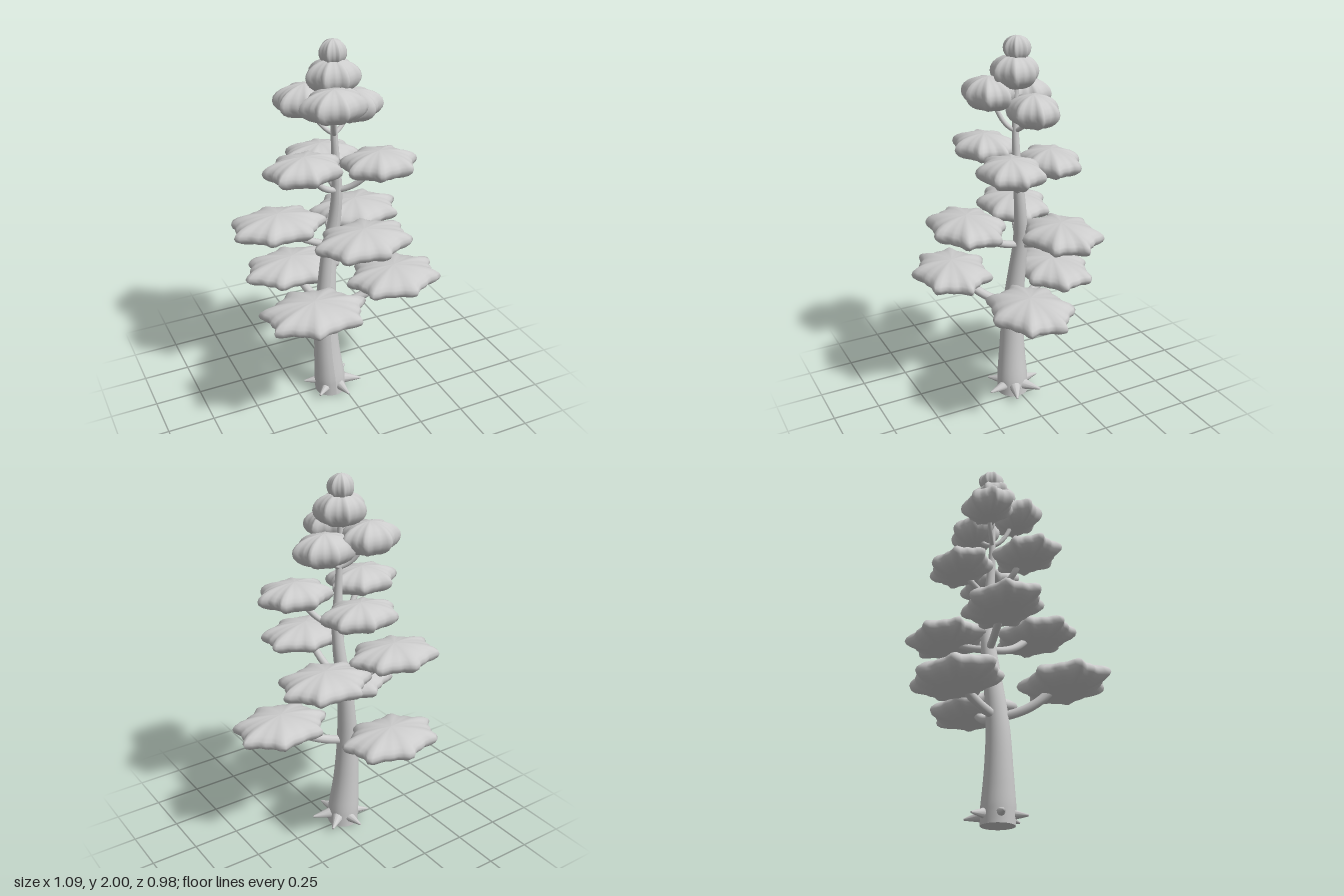
import * as THREE from 'three';

const grey = new THREE.MeshStandardMaterial({ color: 0xcccccc });
grey.name = 'paleGrey';

// Trunk stations: x, y, z, radius
const STATIONS = [
  [-0.065, 0, 0.015, 0.085], [-0.07, 0.1, 0.015, 0.085], [-0.082, 0.28, 0.01, 0.07],
  [-0.085, 0.5, 0.003, 0.058], [-0.067, 0.72, -0.012, 0.048], [-0.045, 0.9, -0.022, 0.04],
  [-0.022, 1.06, -0.012, 0.034], [-0.015, 1.22, 0, 0.028], [-0.026, 1.4, 0.008, 0.021],
  [-0.035, 1.55, 0.01, 0.017], [-0.036, 1.75, 0.005, 0.014], [-0.035, 1.92, 0, 0.01],
];
const trunkLine = new THREE.CatmullRomCurve3(STATIONS.map(([x, y, z]) => new THREE.Vector3(x, y, z)));

function trunkRadius(t) {
  const f = t * (STATIONS.length - 1);
  const i = Math.min(Math.floor(f), STATIONS.length - 2);
  return THREE.MathUtils.lerp(STATIONS[i][3], STATIONS[i + 1][3], f - i);
}

// Point of the trunk centreline at a given height
function trunkAt(y) {
  let i = 0;
  while (i < STATIONS.length - 2 && STATIONS[i + 1][1] < y) i++;
  const a = STATIONS[i], b = STATIONS[i + 1], k = (y - a[1]) / (b[1] - a[1]);
  return new THREE.Vector3(a[0], a[1], a[2]).lerp(new THREE.Vector3(b[0], b[1], b[2]), k);
}

// Tiers: branch height, pad half sizes [x, y, z], pad centres
const TIERS = [
  { node: 0.53, size: [0.275, 0.072, 0.21], pads: [[-0.267, 0.71, 0.28], [0.28, 0.685, 0.09], [-0.16, 0.65, -0.285]] },
  { node: 0.9, size: [0.255, 0.07, 0.195], pads: [[-0.01, 1.07, 0.3], [-0.3, 1.025, -0.11], [0.16, 1.005, -0.15]] },
  { node: 1.22, size: [0.205, 0.07, 0.162], pads: [[0.155, 1.385, 0.13], [-0.23, 1.405, 0.09], [-0.025, 1.34, -0.185]] },
  { node: 1.53, size: [0.165, 0.083, 0.13], pads: [[-0.09, 1.72, 0.13], [0.08, 1.65, -0.03], [-0.145, 1.69, -0.09]] },
];

function add(group, name, geometry) {
  const mesh = new THREE.Mesh(geometry, grey);
  mesh.name = name;
  group.add(mesh);
  return mesh;
}

// Flattened sphere whose outline is drawn out into pointed lobes
function padGeometry([sx, sy, sz], phase) {
  const g = new THREE.SphereGeometry(1, 56, 12);
  const p = g.attributes.position;
  for (let i = 0; i < p.count; i++) {
    const x = p.getX(i), y = p.getY(i), z = p.getZ(i);
    const a = Math.atan2(z, x) + phase;
    const lobe = 1 - Math.abs(Math.sin(a * 3.5));
    const s = 0.83 + 0.18 * lobe + 0.03 * Math.cos(14 * a) + 0.03 * Math.sin(2 * a);
    p.setXYZ(i, x * s * sx, y * sy, z * s * sz);
  }
  // Average the normals across the seam by computing them from the pole-to-rim shape
  g.computeVertexNormals();
  const n = g.attributes.normal, row = 57;
  for (let r = 0; r < 13; r++) {
    const a = r * row, b = a + 56;
    const v = new THREE.Vector3().fromBufferAttribute(n, a).add(new THREE.Vector3().fromBufferAttribute(n, b)).normalize();
    n.setXYZ(a, v.x, v.y, v.z);
    n.setXYZ(b, v.x, v.y, v.z);
  }
  return g;
}

// Curved branch from the trunk to the underside of a pad
function branchGeometry(node, pad, radius) {
  const start = trunkAt(node);
  const end = new THREE.Vector3(...pad);
  const reach = start.clone().lerp(end, 0.85).setY(end.y - 0.02);
  const bend = start.clone().lerp(end, 0.55).setY(node + 0.025);
  return new THREE.TubeGeometry(new THREE.QuadraticBezierCurve3(start, bend, reach), 14, radius, 10);
}

export function createModel() {
  const model = new THREE.Group();
  model.name = 'tree';

  // Trunk: a cylinder bent along the centreline
  const trunk = new THREE.CylinderGeometry(1, 1, 1, 20, 44);
  const p = trunk.attributes.position;
  for (let i = 0; i < p.count; i++) {
    const t = p.getY(i) + 0.5, c = trunkLine.getPoint(t), r = trunkRadius(t);
    p.setXYZ(i, c.x + p.getX(i) * r, c.y, c.z + p.getZ(i) * r);
  }
  trunk.computeVertexNormals();
  add(model, 'trunk', trunk);

  // Root spikes
  const roots = new THREE.Group();
  roots.name = 'roots';
  for (let i = 0; i < 6; i++) {
    const a = THREE.MathUtils.degToRad(20 + i * 60);
    const dir = new THREE.Vector3(Math.cos(a), -0.1, Math.sin(a)).normalize();
    const root = add(roots, 'root', new THREE.CylinderGeometry(0.005, 0.034, 0.11, 10));
    root.quaternion.setFromUnitVectors(new THREE.Vector3(0, 1, 0), dir);
    root.position.set(-0.05, 0.06, 0.015).addScaledVector(dir, 0.105);
  }
  model.add(roots);

  // Branches and foliage pads, tier by tier
  TIERS.forEach(({ node, size, pads }, tier) => {
    const group = new THREE.Group();
    group.name = 'foliageTier';
    pads.forEach((pad, i) => {
      add(group, 'branch', branchGeometry(node, pad, 0.024 - tier * 0.004));
      add(group, 'foliagePad', padGeometry(size, tier * 1.3 + i * 2.1)).position.set(...pad);
    });
    model.add(group);
  });

  // Crown
  add(model, 'crownPad', padGeometry([0.135, 0.085, 0.125], 0.4)).position.set(-0.04, 1.825, 0.01);
  add(model, 'crownTip', padGeometry([0.068, 0.063, 0.07], 1.2)).position.set(-0.036, 1.937, 0);

  return model;
}
